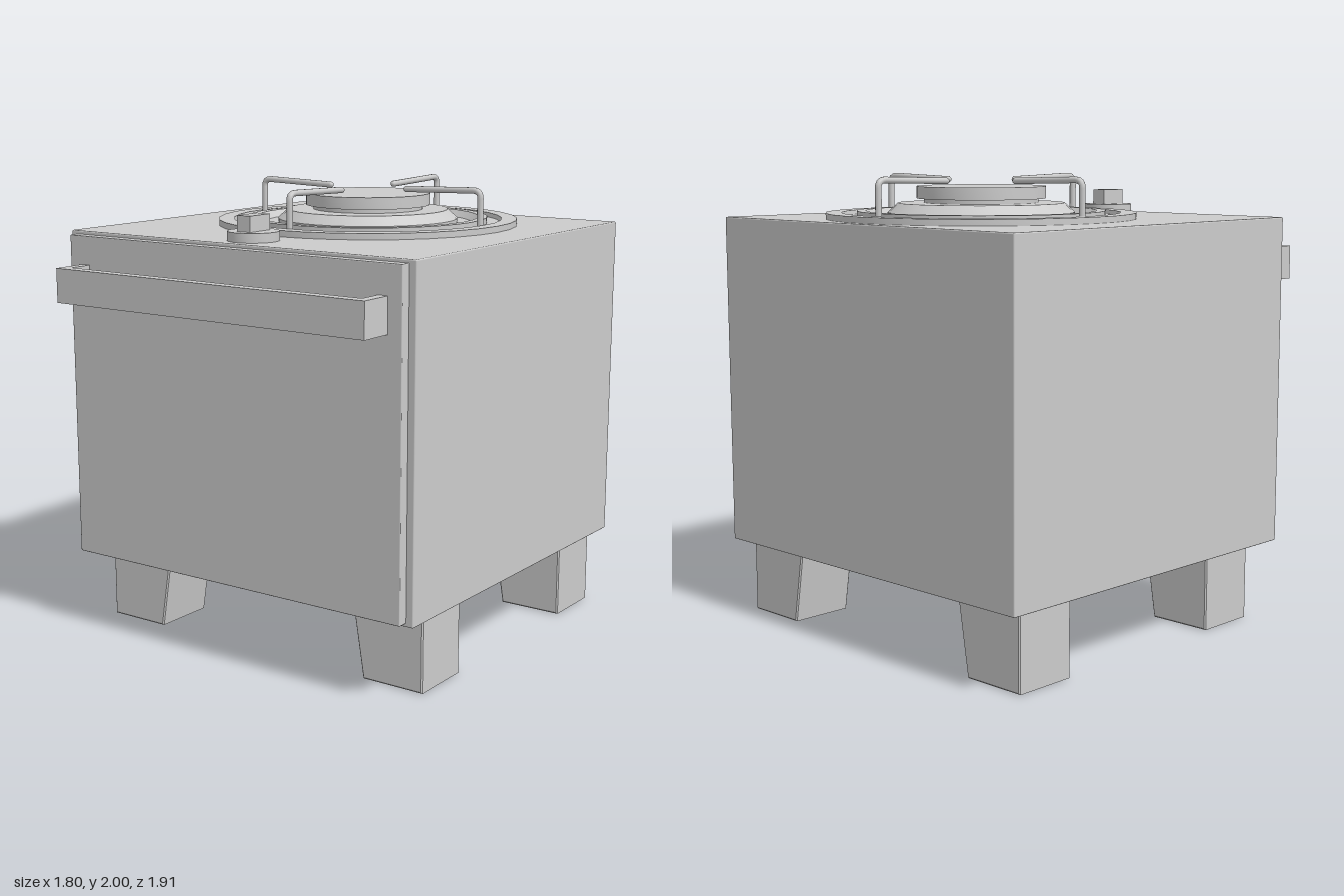
import * as THREE from 'three';
import { RoundedBoxGeometry } from 'three/addons/geometries/RoundedBoxGeometry.js';
import { toCreasedNormals } from 'three/addons/utils/BufferGeometryUtils.js';

const material = new THREE.MeshStandardMaterial({ color: 0xcccccc, side: THREE.DoubleSide });

function add(parent, name, geometry) {
  const mesh = new THREE.Mesh(geometry, material);
  mesh.name = name;
  parent.add(mesh);
  return mesh;
}

// Box given by its minimum and maximum corners, with an optional soft edge
function box(x0, x1, y0, y1, z0, z1, radius = 0) {
  const size = [x1 - x0, y1 - y0, z1 - z0];
  const geometry = radius
    ? new RoundedBoxGeometry(...size, 2, radius)
    : new THREE.BoxGeometry(...size);
  return geometry.translate((x0 + x1) / 2, (y0 + y1) / 2, (z0 + z1) / 2);
}

// Turned part with crisp edges; the profile runs from the bottom upwards
function turned(points, segments = 32) {
  const profile = points.map(([r, y]) => new THREE.Vector2(r, y));
  return toCreasedNormals(new THREE.LatheGeometry(profile, segments), 0.5);
}

// Leg tapering on its inner side, with slightly bevelled edges
function legGeometry(side, z0, z1) {
  const b = 0.006;
  const shape = new THREE.Shape([
    [0.555 + b, b], [0.85 - b, b], [0.85 - b, 0.345], [0.5 + b, 0.345],
  ].map(([x, y]) => new THREE.Vector2(side * x, y)));
  return new THREE.ExtrudeGeometry(shape, {
    depth: z1 - z0 - 2 * b, bevelThickness: b, bevelSize: b, bevelSegments: 1,
  }).translate(0, 0, z0 + b);
}

// Bent wire that rises from the plate and reaches in over the burner
function wireGeometry() {
  const v = (r, y) => new THREE.Vector3(r, y, 0);
  const path = new THREE.CurvePath();
  path.add(new THREE.LineCurve3(v(0.593, 1.815), v(0.593, 1.955)));
  path.add(new THREE.QuadraticBezierCurve3(v(0.593, 1.955), v(0.593, 1.986), v(0.555, 1.985)));
  path.add(new THREE.LineCurve3(v(0.555, 1.985), v(0.207, 1.975)));
  return new THREE.TubeGeometry(path, 40, 0.014, 10);
}

export function createModel() {
  const model = new THREE.Group();
  model.name = 'stove';

  // Cabinet and oven door
  add(model, 'body', box(-0.9, 0.9, 0.34, 1.81, -0.955, 0.752, 0.006));
  add(model, 'door', box(-0.866, 0.866, 0.355, 1.795, 0.745, 0.798, 0.004));

  // Door handle: a bar on two brackets
  const handle = new THREE.Group();
  handle.name = 'doorHandle';
  model.add(handle);
  add(handle, 'handleBar', box(-0.8, 0.8, 1.52, 1.67, 0.905, 0.955));
  add(handle, 'leftBracket', box(0.755, 0.8, 1.52, 1.67, 0.795, 0.905));
  add(handle, 'rightBracket', box(-0.8, -0.755, 1.52, 1.67, 0.795, 0.905));

  // Four legs
  for (const side of [1, -1]) {
    const sideName = side > 0 ? 'Left' : 'Right';
    add(model, `front${sideName}Leg`, legGeometry(side, 0.305, 0.6));
    add(model, `back${sideName}Leg`, legGeometry(side, -0.875, -0.58));
  }

  // Hob: stepped plate, burner cap and wire pan supports
  const hob = new THREE.Group();
  hob.name = 'hob';
  hob.position.z = -0.24;
  model.add(hob);
  add(hob, 'burnerPlate', turned([
    [0.68, 1.805], [0.68, 1.837], [0.61, 1.837], [0.605, 1.818], [0.545, 1.818],
    [0.545, 1.845], [0.505, 1.845], [0.475, 1.816], [0.41, 1.816], [0.41, 1.837],
    [0.365, 1.878], [0.25, 1.878],
  ]));
  add(hob, 'burnerCap', turned([
    [0.25, 1.87], [0.25, 1.897], [0.283, 1.897], [0.283, 1.95], [0, 1.95],
  ]));
  const wire = wireGeometry();
  for (let i = 0; i < 4; i++) {
    const support = new THREE.Group();
    support.name = `panSupport${i + 1}`;
    support.rotation.y = i * Math.PI / 2;
    hob.add(support);
    add(support, 'wire', wire);
    // Closed end of the wire
    add(support, 'wireTip', new THREE.SphereGeometry(0.014, 10, 6)).position.set(0.209, 1.975, 0);
  }

  // Control knob with a raised grip
  const knob = new THREE.Group();
  knob.name = 'controlKnob';
  knob.position.z = 0.603;
  model.add(knob);
  add(knob, 'knobBase', turned([[0.11, 1.805], [0.11, 1.85], [0, 1.85]]));
  add(knob, 'knobGrip', box(-0.034, 0.034, 1.845, 1.917, -0.068, 0.065));

  return model;
}
